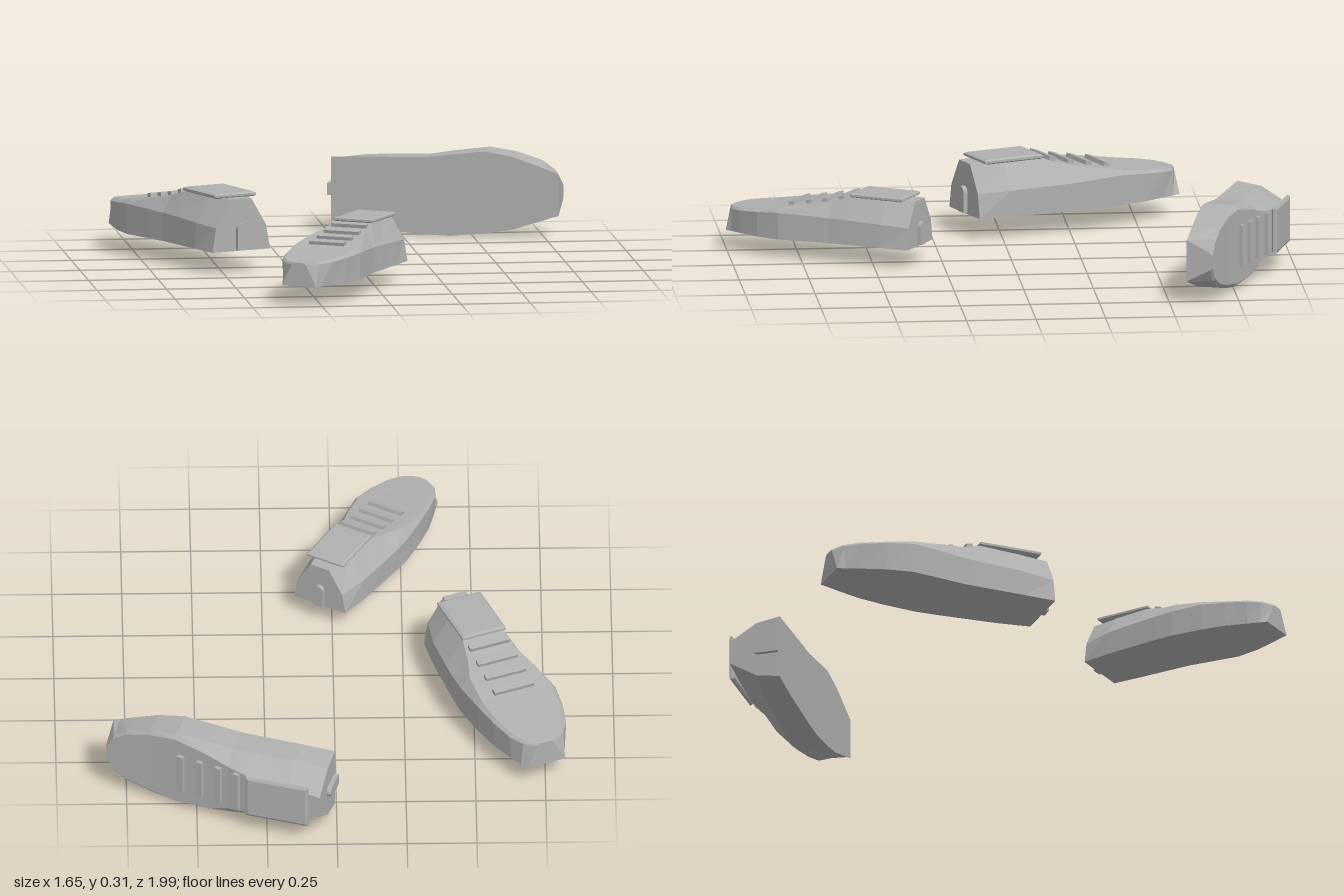
import * as THREE from 'three';

const grey = new THREE.MeshStandardMaterial({ color: 0xb0b0b0, flatShading: true });
grey.name = 'grey';

// Heel-to-toe stations: [along, soleArch, soleOuter, shoulderArch, shoulderOuter, shoulderY, topArch, topOuter, topY]
const STATIONS = [
  [0.00, 0.118, 0.118, 0.103, 0.103, 0.087, 0.042, 0.042, 0.187],
  [0.12, 0.122, 0.136, 0.118, 0.135, 0.095, 0.062, 0.065, 0.188],
  [0.27, 0.124, 0.148, 0.122, 0.150, 0.100, 0.078, 0.082, 0.186],
  [0.35, 0.126, 0.154, 0.125, 0.156, 0.102, 0.088, 0.098, 0.164],
  [0.43, 0.136, 0.157, 0.138, 0.158, 0.106, 0.112, 0.125, 0.149],
  [0.56, 0.152, 0.145, 0.154, 0.147, 0.110, 0.138, 0.132, 0.127],
  [0.66, 0.135, 0.128, 0.140, 0.130, 0.102, 0.126, 0.118, 0.113],
  [0.75, 0.105, 0.100, 0.114, 0.106, 0.094, 0.102, 0.095, 0.104],
  [0.80, 0.086, 0.083, 0.080, 0.076, 0.090, 0.070, 0.066, 0.099],
  [0.828, 0.077, 0.075, 0.032, 0.030, 0.087, 0.024, 0.022, 0.095],
];

// Six-sided cross-sections joined into a closed body, capped at heel and toe
function bodyGeometry(side) {
  const pos = [], index = [];
  for (const [z, a0, b0, a1, b1, y1, a2, b2, y2] of STATIONS) {
    const ring = [[a0, 0], [a1, y1], [a2, y2], [-b2, y2], [-b1, y1], [-b0, 0]];
    for (const [x, y] of ring) pos.push(x * side, y, z);
  }
  const tri = (a, b, c) => (side > 0 ? index.push(a, b, c) : index.push(a, c, b));
  const last = (STATIONS.length - 1) * 6;
  for (let s = 0; s < last; s += 6) {
    for (let i = 0; i < 6; i++) {
      const j = (i + 1) % 6;
      tri(s + i, s + j, s + 6 + i);
      tri(s + j, s + 6 + j, s + 6 + i);
    }
  }
  for (let i = 1; i < 5; i++) {
    tri(0, i + 1, i);
    tri(last, last + i, last + i + 1);
  }
  const g = new THREE.BufferGeometry();
  g.setAttribute('position', new THREE.Float32BufferAttribute(pos, 3));
  g.setIndex(index);
  const flat = g.toNonIndexed();
  flat.computeVertexNormals();
  return flat;
}

function add(group, name, geometry, x, y, z) {
  const mesh = new THREE.Mesh(geometry, grey);
  mesh.name = name;
  mesh.position.set(x, y, z);
  group.add(mesh);
  return mesh;
}

// One shoe: heel at the origin, toe along +z, arch on the given side
function makeShoe(name, side) {
  const shoe = new THREE.Group();
  shoe.name = name;
  add(shoe, 'shoeBody', bodyGeometry(side), 0, 0, 0);

  // Raised pad over the ankle opening, with a bevelled upper edge
  const pad = new THREE.Shape();
  pad.moveTo(-0.075, -0.108).lineTo(0.075, -0.108).lineTo(0.075, 0.108).lineTo(-0.075, 0.108).closePath();
  const padGeometry = new THREE.ExtrudeGeometry(pad, {
    depth: 0.008, bevelEnabled: true, bevelThickness: 0.005, bevelSize: 0.009, bevelSegments: 1,
  });
  padGeometry.rotateX(-Math.PI / 2);
  add(shoe, 'anklePad', padGeometry, 0, 0.191, 0.157);

  // Four lace bars stepping down the instep
  [[0.313, 0.179], [0.387, 0.161], [0.460, 0.148], [0.535, 0.136]].forEach(([z, y], i) => {
    add(shoe, 'lace' + (i + 1), new THREE.BoxGeometry(0.153, 0.02, 0.024), 0, y, z).rotation.x = 0.24;
  });

  // Round-topped strip on the back of the heel
  const strip = new THREE.Shape();
  strip.moveTo(-0.022, 0.005).lineTo(0.022, 0.005).lineTo(0.022, 0.078);
  strip.absarc(0, 0.078, 0.022, 0, Math.PI, false);
  strip.closePath();
  add(shoe, 'heelStrip', new THREE.ExtrudeGeometry(strip, { depth: 0.03, bevelEnabled: false, curveSegments: 4 }), 0, 0, -0.016);
  return shoe;
}

export function createModel() {
  const model = new THREE.Group();
  model.name = 'threeShoes';

  // Standing shoe pointing backward
  const rear = makeShoe('rearStandingShoe', 1);
  rear.position.set(-0.435, 0.08, 0.13);
  rear.rotation.y = Math.atan2(-0.381, -0.925);

  // Smaller standing shoe pointing forward
  const front = makeShoe('frontStandingShoe', 1);
  front.position.set(0.043, 0.07, 0.333);
  front.rotation.y = Math.atan2(-0.508, 0.861);
  front.scale.setScalar(0.89);

  // Mirrored shoe lying on its side, sole to the front
  const lying = makeShoe('lyingShoe', -1);
  const angle = Math.atan2(0.305, 0.952);
  const c = Math.cos(angle), s = Math.sin(angle);
  lying.setRotationFromMatrix(new THREE.Matrix4().makeBasis(
    new THREE.Vector3(0, -1, 0), new THREE.Vector3(s, 0, -c), new THREE.Vector3(c, 0, s)));
  lying.position.set(0.006, 0.158, -0.812);

  model.add(rear, front, lying);
  return model;
}
